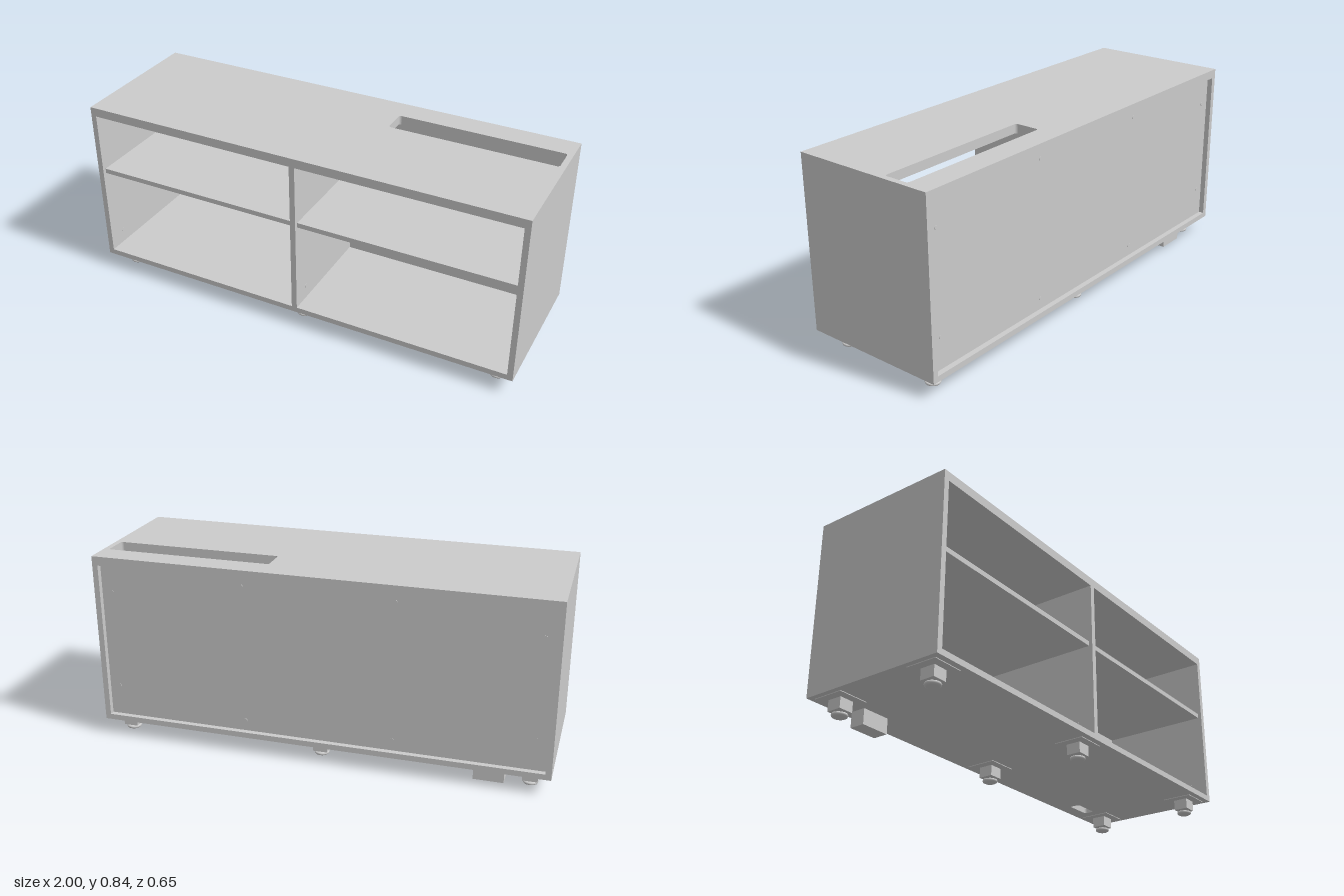
import * as THREE from 'three';

const material = new THREE.MeshStandardMaterial({ color: 0xcccccc });

function add(parent, name, geometry) {
  const mesh = new THREE.Mesh(geometry, material);
  mesh.name = name;
  parent.add(mesh);
  return mesh;
}

// Box given by its limits on each axis
function board(parent, name, [x0, x1], [y0, y1], [z0, z1]) {
  const mesh = add(parent, name, new THREE.BoxGeometry(x1 - x0, y1 - y0, z1 - z0));
  mesh.position.set((x0 + x1) / 2, (y0 + y1) / 2, (z0 + z1) / 2);
  return mesh;
}

function roundedRect(path, x0, x1, y0, y1, r) {
  path.moveTo(x0 + r, y0);
  path.lineTo(x1 - r, y0);
  path.absarc(x1 - r, y0 + r, r, -Math.PI / 2, 0);
  path.lineTo(x1, y1 - r);
  path.absarc(x1 - r, y1 - r, r, 0, Math.PI / 2);
  path.lineTo(x0 + r, y1);
  path.absarc(x0 + r, y1 - r, r, Math.PI / 2, Math.PI);
  path.lineTo(x0, y0 + r);
  path.absarc(x0 + r, y0 + r, r, Math.PI, Math.PI * 1.5);
  return path;
}

const D = 0.327; // half depth

// Full-size horizontal panel with one rounded cable slot
function slottedPanel(parent, name, y0, y1, [x0, x1], [z0, z1], r) {
  const shape = new THREE.Shape();
  shape.moveTo(-1, -D);
  shape.lineTo(1, -D);
  shape.lineTo(1, D);
  shape.lineTo(-1, D);
  shape.closePath();
  shape.holes.push(roundedRect(new THREE.Path(), x0, x1, -z1, -z0, r));
  const geometry = new THREE.ExtrudeGeometry(shape, { depth: y1 - y0, bevelEnabled: false, curveSegments: 6 });
  geometry.rotateX(-Math.PI / 2);
  add(parent, name, geometry).position.y = y0;
}

function createFoot(x, z) {
  const foot = new THREE.Group();
  foot.name = 'foot';
  board(foot, 'footPlate', [-0.068, 0.068], [0.069, 0.072], [-0.068, 0.068]);
  board(foot, 'footBlock', [-0.0325, 0.0325], [0.022, 0.07], [-0.0325, 0.0325]);
  add(foot, 'footStem', new THREE.CylinderGeometry(0.01, 0.01, 0.012, 16)).position.y = 0.02;
  const profile = [[0, 0], [0.024, 0], [0.031, 0.004], [0.033, 0.009], [0.031, 0.014], [0.02, 0.017], [0, 0.018]]
    .map(([r, y]) => new THREE.Vector2(r, y));
  add(foot, 'footGlide', new THREE.LatheGeometry(profile, 28));
  foot.position.set(x, 0, z);
  return foot;
}

export function createModel() {
  const model = new THREE.Group();
  model.name = 'mediaCabinet';
  const inner = [0.097, 0.803];

  // Carcass
  slottedPanel(model, 'topPanel', 0.803, 0.843, [0.235, 0.975], [-0.215, -0.1], 0.012);
  slottedPanel(model, 'bottomPanel', 0.072, 0.097, [0.665, 0.795], [-0.26, -0.212], 0.012);
  board(model, 'rightSidePanel', [-1, -0.975], inner, [-D, D]);
  board(model, 'leftSidePanel', [0.975, 1], inner, [-D, D]);
  board(model, 'divider', [-0.0125, 0.0125], inner, [-0.288, D]);
  board(model, 'backPanel', [-0.975, 0.975], [0.097, 0.795], [-0.303, -0.288]);

  // Inner panel hiding the cable space, open along its top
  board(model, 'cableScreen', [0.0125, 0.975], [0.097, 0.74], [-0.206, -0.2]);

  // Shelves
  board(model, 'rightShelf', [-0.975, -0.0125], [0.508, 0.53], [-0.288, 0.31]);
  board(model, 'leftShelf', [0.0125, 0.975], [0.508, 0.53], [-0.2, 0.31]);

  // Screws of the back panel
  const screw = new THREE.CylinderGeometry(0.009, 0.009, 0.003, 16);
  for (const side of [-1, 1]) {
    for (const [x, y] of [[0.93, 0.68], [0.93, 0.235], [0.33, 0.765], [0.33, 0.145]]) {
      const mesh = add(model, 'backScrew', screw);
      mesh.rotation.x = Math.PI / 2;
      mesh.position.set(side * x, y, -0.3035);
    }
  }

  // Fittings on the inner faces of the uprights
  for (const x of [-0.975, -0.0125, 0.0125, 0.975]) {
    for (const z of [-0.24, 0.24]) {
      if (x > 0 && z < 0) continue;
      const mesh = add(model, 'sideFitting', screw);
      mesh.rotation.z = Math.PI / 2;
      mesh.position.set(x, 0.16, z);
    }
  }

  // Adjustable feet and the box under the base
  for (const x of [-0.91, 0, 0.91]) {
    for (const z of [-0.235, 0.232]) model.add(createFoot(x, z));
  }
  board(model, 'underBox', [-0.805, -0.675], [0.005, 0.072], [-0.283, -0.215]);

  return model;
}
